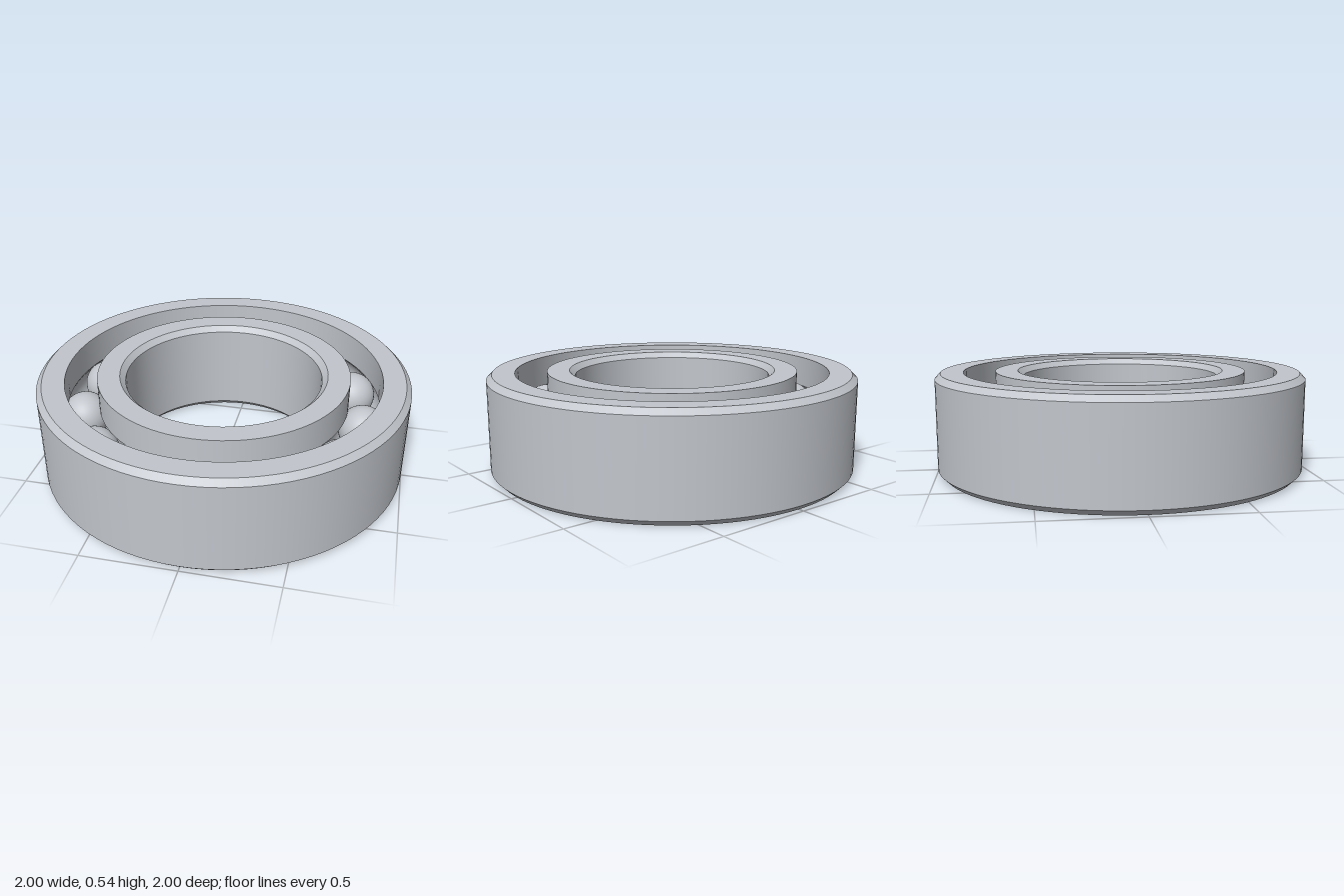
import * as THREE from 'three';
import { mergeGeometries } from 'three/addons/utils/BufferGeometryUtils.js';

const HEIGHT = 0.54, MID = HEIGHT / 2, CHAMFER = 0.03;
const PITCH = 0.765, BALL_R = 0.13, BALLS = 13;
const GROOVE_R = 0.132, LAND = 0.085; // distance from pitch circle to each ring's land
const SEGMENTS = 96;

// Arc of the ball groove, centred on the pitch circle
function grooveArc(from, to, steps = 14) {
  return Array.from({ length: steps + 1 }, (_, i) => {
    const a = from + ((to - from) * i) / steps;
    return [PITCH + GROOVE_R * Math.cos(a), MID + GROOVE_R * Math.sin(a)];
  });
}

// Each stretch of the profile is turned separately so the edges between stay sharp
function turnedRing(name, stretches, material) {
  const parts = stretches.map((points) =>
    new THREE.LatheGeometry(points.map(([x, y]) => new THREE.Vector2(x, y)), SEGMENTS));
  const mesh = new THREE.Mesh(mergeGeometries(parts), material);
  mesh.name = name;
  return mesh;
}

// Straight stretches joining consecutive points
function lines(points) {
  return points.slice(1).map((p, i) => [points[i], p]);
}

export function createModel() {
  const model = new THREE.Group();
  model.name = 'ballBearing';

  const steel = new THREE.MeshStandardMaterial({ color: 0xc2c6cc });
  steel.name = 'steel';

  const half = Math.acos(LAND / GROOVE_R);

  // Outer ring: chamfered outside, groove inside
  const outerGroove = grooveArc(half, -half);
  const outerLand = PITCH + LAND;
  model.add(turnedRing('outerRing', [
    ...lines([
      [outerLand, 0], [1 - CHAMFER, 0], [1, CHAMFER], [1, HEIGHT - CHAMFER],
      [1 - CHAMFER, HEIGHT], [outerLand, HEIGHT], outerGroove[0],
    ]),
    outerGroove,
    [outerGroove.at(-1), [outerLand, 0]],
  ], steel));

  // Inner ring: groove outside, chamfered bore
  const innerGroove = grooveArc(Math.PI + half, Math.PI - half);
  const innerLand = PITCH - LAND, bore = 0.53;
  model.add(turnedRing('innerRing', [
    ...lines([
      innerGroove.at(-1), [innerLand, HEIGHT], [bore + CHAMFER, HEIGHT],
      [bore, HEIGHT - CHAMFER], [bore, CHAMFER], [bore + CHAMFER, 0],
      [innerLand, 0], innerGroove[0],
    ]),
    innerGroove,
  ], steel));

  // Balls spaced evenly around the pitch circle
  const balls = new THREE.Group();
  balls.name = 'balls';
  const ballGeometry = new THREE.SphereGeometry(BALL_R, 40, 24);
  for (let i = 0; i < BALLS; i++) {
    const a = (i / BALLS) * Math.PI * 2;
    const ball = new THREE.Mesh(ballGeometry, steel);
    ball.name = 'ball';
    ball.position.set(PITCH * Math.cos(a), MID, PITCH * Math.sin(a));
    balls.add(ball);
  }
  model.add(balls);

  return model;
}
